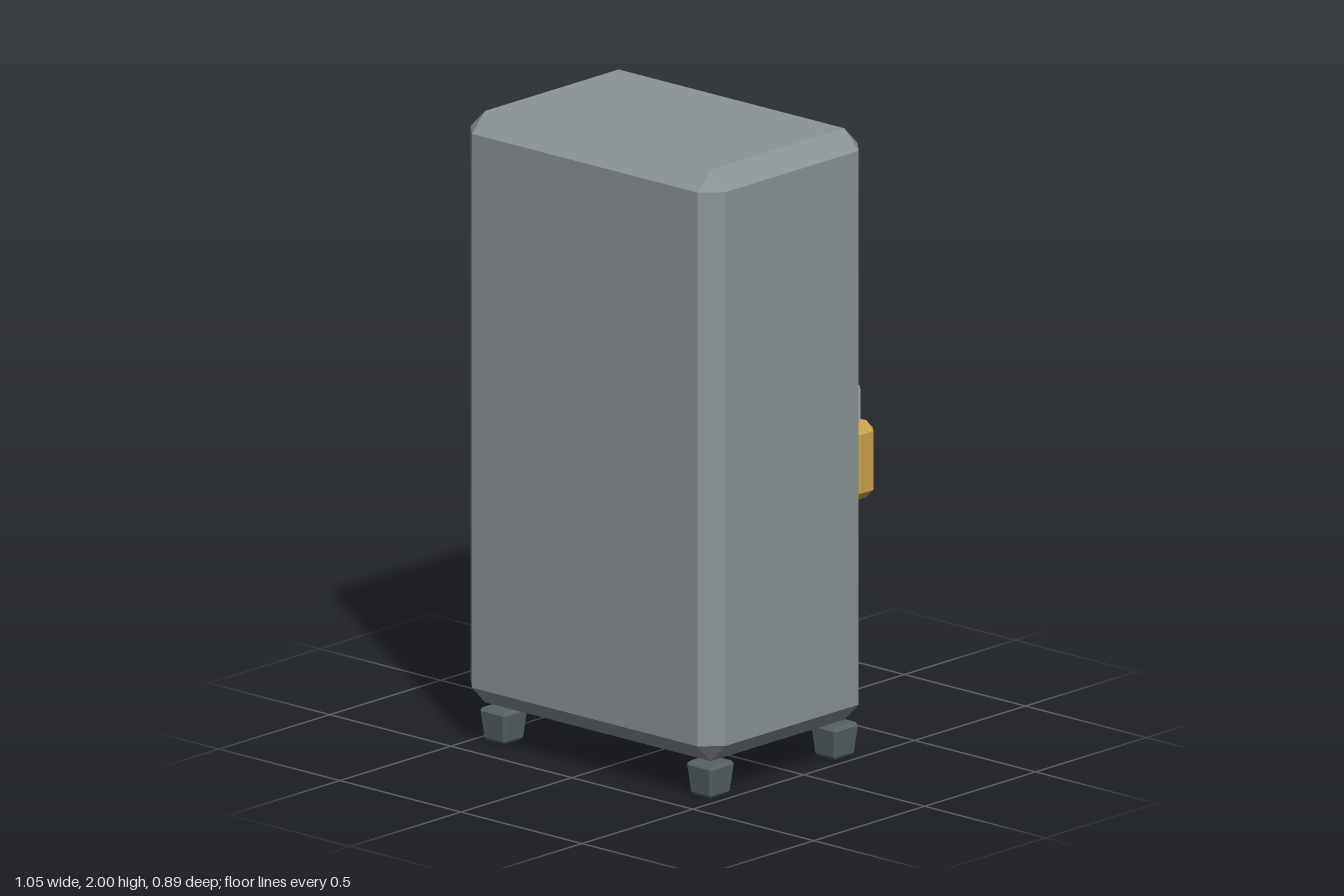
import * as THREE from 'three';
import { ConvexGeometry } from 'three/addons/geometries/ConvexGeometry.js';

const material = (name, color) => {
  const m = new THREE.MeshStandardMaterial({ color });
  m.name = name;
  return m;
};

// Box with chamfered edges; taper scales its lower end
function chamferBox(w, h, d, c, taper = 1) {
  const points = [];
  for (const sx of [-1, 1]) for (const sy of [-1, 1]) for (const sz of [-1, 1]) {
    const k = sy < 0 ? taper : 1;
    const x = sx * w / 2, y = sy * h / 2, z = sz * d / 2;
    points.push(
      new THREE.Vector3(x * k, y - sy * c, (z - sz * c) * k),
      new THREE.Vector3((x - sx * c) * k, y, (z - sz * c) * k),
      new THREE.Vector3((x - sx * c) * k, y - sy * c, z * k));
  }
  return new ConvexGeometry(points);
}

export function createModel() {
  const grey = material('locker grey', 0x8b9496);
  const dark = material('dark slate', 0x566164);
  const brass = material('brass', 0xcba24c);
  const steel = material('steel', 0xa9b0b4);
  const group = new THREE.Group();

  const add = (name, geometry, mat, x, y, z, parent = group) => {
    const mesh = new THREE.Mesh(geometry, mat);
    mesh.name = name;
    mesh.position.set(x, y, z);
    parent.add(mesh);
    return mesh;
  };

  // Cabinet and its door, on the -z side
  add('cabinet', chamferBox(1.052, 1.88, 0.722, 0.06), grey, 0, 1.06, 0.081);
  add('door', chamferBox(0.885, 1.72, 0.076, 0.025), grey, 0, 1.06, -0.279);

  // Tapered feet
  for (const x of [-0.427, 0.427]) for (const z of [-0.219, 0.341]) {
    add('foot', chamferBox(0.11, 0.105, 0.11, 0.01, 0.83), dark, x, 0.0525, z);
  }

  // Vent slats
  for (let i = 0; i < 3; i++) {
    add('ventSlat', new THREE.BoxGeometry(0.5, 0.04, 0.04), dark, 0, 1.68 - i * 0.115, -0.316);
  }

  // Hinges
  for (const y of [1.53, 0.582]) {
    add('hinge', chamferBox(0.083, 0.192, 0.07, 0.018), dark, -0.478, y, -0.303);
  }

  // Hasp plate
  add('hasp', chamferBox(0.115, 0.18, 0.06, 0.012), dark, 0.297, 1.12, -0.323);

  // Padlock with a pointed shackle
  const padlock = new THREE.Group();
  padlock.name = 'padlock';
  padlock.position.set(0.297, 0, -0.374);
  group.add(padlock);
  add('lockBody', chamferBox(0.246, 0.245, 0.113, 0.029), brass, 0, 0.895, 0, padlock);
  add('keyhole', new THREE.BoxGeometry(0.045, 0.095, 0.03), dark, 0, 0.883, -0.056, padlock);

  const rod = (length) => new THREE.CylinderGeometry(0.023, 0.023, length, 6).toNonIndexed();
  for (const s of [-1, 1]) {
    const leg = rod(0.12);
    leg.computeVertexNormals();
    add('shackleLeg', leg, steel, s * 0.064, 1.06, 0, padlock);
    const slope = rod(0.106);
    slope.computeVertexNormals();
    add('shackleTop', slope, steel, s * 0.032, 1.147, 0, padlock).rotation.z = s * Math.PI / 4;
  }

  return group;
}
